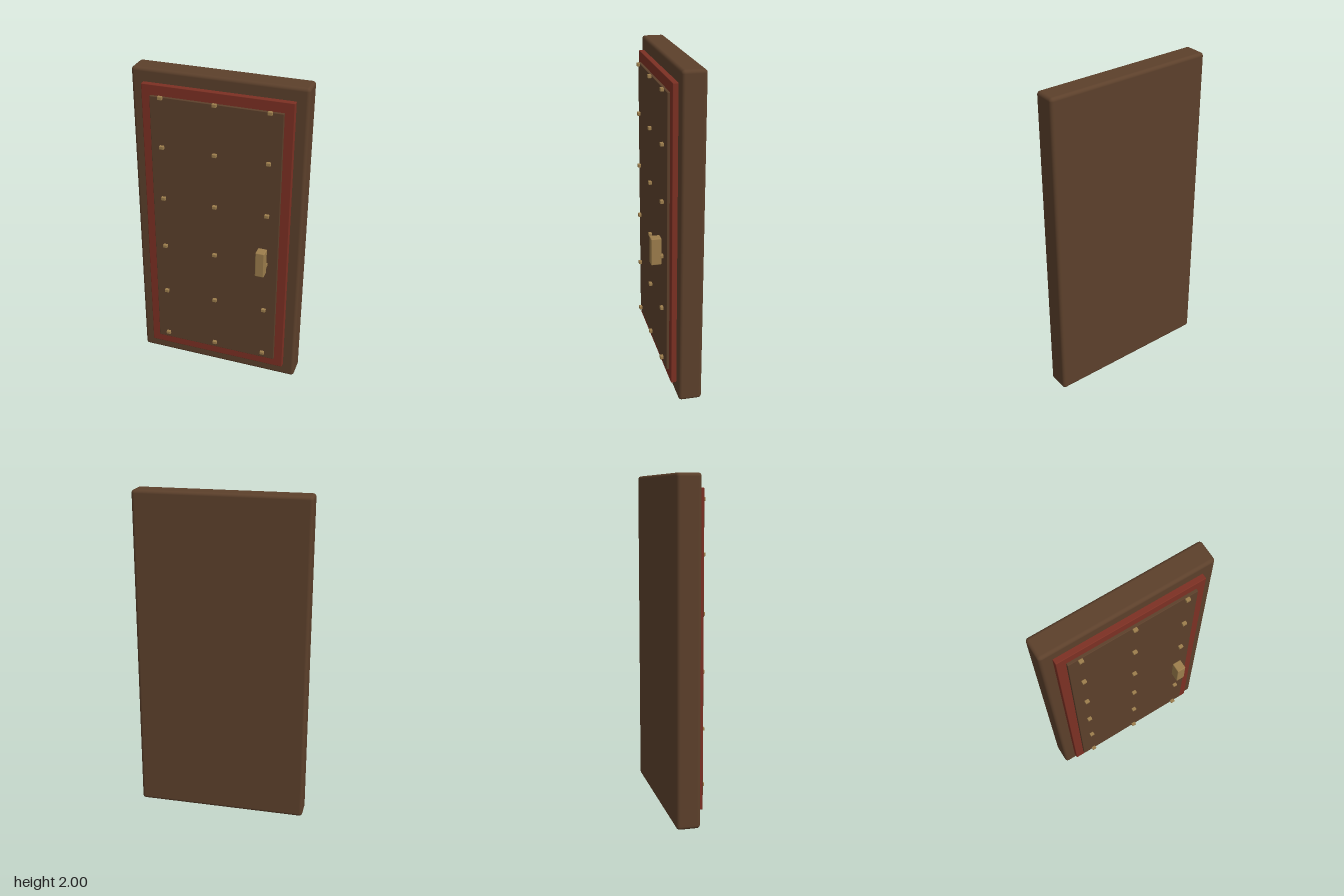
import * as THREE from 'three';
import { RoundedBoxGeometry } from 'three/addons/geometries/RoundedBoxGeometry.js';

export function createModel() {
  const door = new THREE.Group();
  door.name = 'door';

  const material = (name, color) => {
    const m = new THREE.MeshStandardMaterial({ color });
    m.name = name;
    return m;
  };
  const wood = material('dark wood', 0x5c402b);
  const red = material('red trim', 0x7c3023);
  const brass = material('aged brass', 0x9c7d4c);

  // Rounded box given by its size, centre and edge radius
  const block = (name, mat, [w, h, d], [x, y, z], radius) => {
    const mesh = new THREE.Mesh(new RoundedBoxGeometry(w, h, d, 3, radius), mat);
    mesh.name = name;
    mesh.position.set(x, y, z);
    door.add(mesh);
  };

  // Slab, raised trim and inner panel
  block('slab', wood, [1.044, 2, 0.14], [0, 1, -0.065], 0.02);
  block('trim', red, [0.9, 1.835, 0.05], [0, 1.003, 0.012], 0.004);
  block('innerPanel', wood, [0.79, 1.71, 0.03], [0, 1.003, 0.038], 0.003);

  // Three columns of studs
  for (const x of [-0.324, 0, 0.322]) {
    for (const y of [0.195, 0.535, 0.875, 1.213, 1.552, 1.859]) {
      block('stud', brass, [0.027, 0.021, 0.02], [x, y, 0.067], 0.003);
    }
  }

  // Handle on the model's left
  block('handle', brass, [0.056, 0.167, 0.062], [0.305, 0.907, 0.1], 0.006);

  return door;
}
